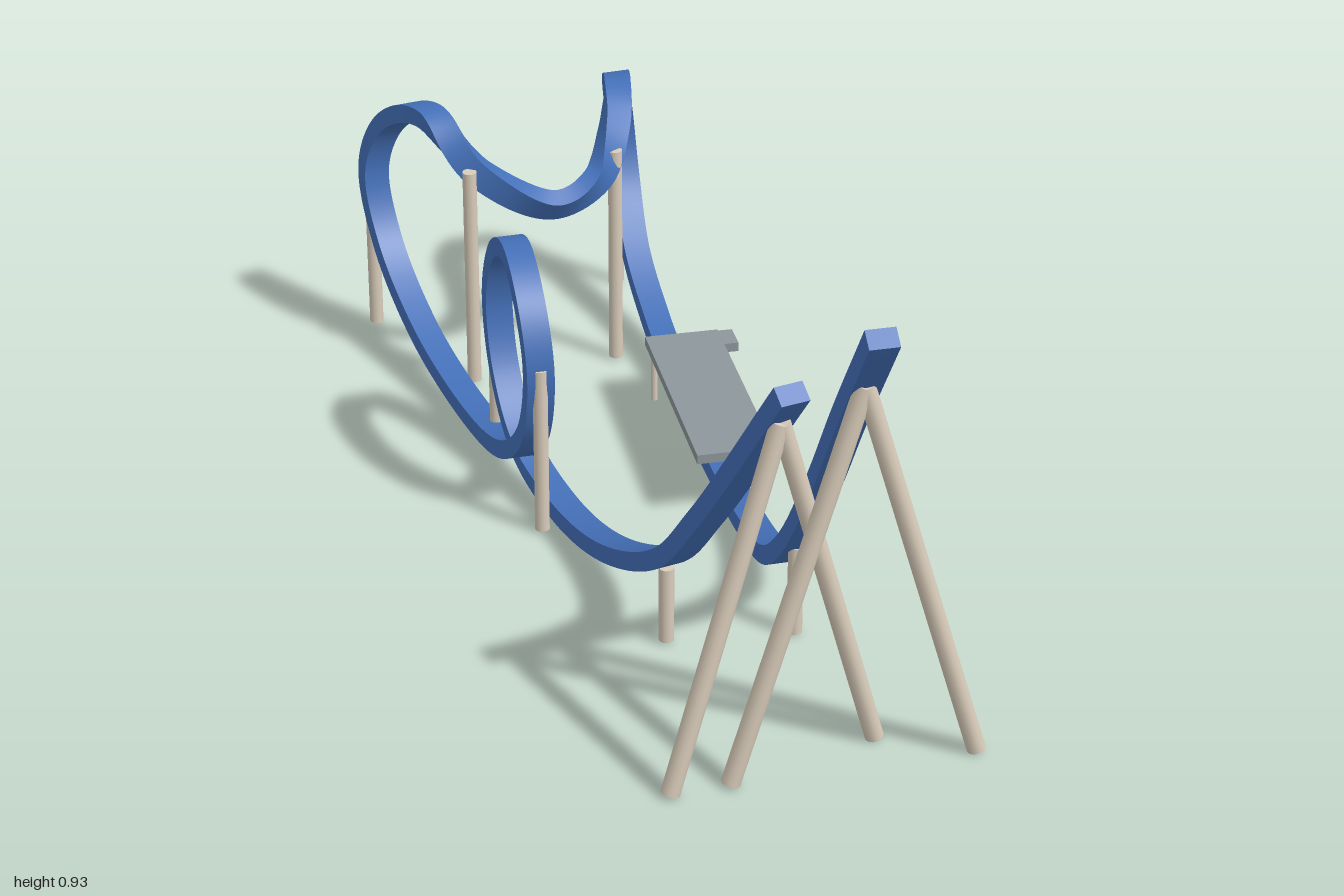
import * as THREE from 'three';

const blue = new THREE.MeshStandardMaterial({ color: 0x4470b8 });
const beige = new THREE.MeshStandardMaterial({ color: 0xd9ccba });
const grey = new THREE.MeshStandardMaterial({ color: 0x8d979b });
const V = (x, y, z) => new THREE.Vector3(x, y, z);

// Track centre line, from the tall lift to the short lift
const path = [
  [0.915, 0.915, 0.465], [0.77, 0.67, 0.36], [0.63, 0.425, 0.254], [0.475, 0.187, 0.14],
  [0.375, 0.09, 0.07], [0.22, 0.041, -0.045], [0, 0.033, -0.2], [-0.3, 0.033, -0.42],
  // first inverted bend
  [-0.45, 0.07, -0.525], [-0.58, 0.155, -0.61], [-0.67, 0.275, -0.68], [-0.7, 0.4, -0.695],
  [-0.67, 0.51, -0.65], [-0.59, 0.56, -0.565], [-0.52, 0.515, -0.475],
  [-0.487, 0.44, -0.385], [-0.515, 0.41, -0.28],
  // second inverted bend
  [-0.64, 0.475, -0.19], [-0.79, 0.56, -0.195], [-0.92, 0.5, -0.212], [-0.972, 0.38, -0.208],
  [-0.92, 0.225, -0.19], [-0.74, 0.095, -0.115], [-0.48, 0.035, -0.005],
  // vertical loop
  [-0.3, 0.07, 0.085], [-0.17, 0.19, 0.16], [-0.13, 0.35, 0.185], [-0.175, 0.475, 0.16],
  [-0.27, 0.53, 0.095], [-0.365, 0.475, 0.03], [-0.41, 0.35, 0.005], [-0.375, 0.2, 0.025],
  [-0.27, 0.085, 0.08], [-0.1, 0.037, 0.15],
  [0.1, 0.065, 0.235], [0.32, 0.18, 0.325], [0.47, 0.355, 0.39], [0.765, 0.775, 0.515],
];

// Upward direction of the track at each path point
const A = [0.81, 0, 0.58], B = [0.92, 0, 0.38], L = [0.83, 0, 0.56];
const mix = (d, h, y) => [d[0] * h, y, d[2] * h];
const up = [0, 1, 0], down = [0, -1, 0];
const ups = [
  up, up, up, up, up, up, up, up,
  mix(A, 0.4, 0.9), mix(A, 0.7, 0.7), mix(A, 0.9, 0.4), A, mix(A, 0.8, -0.6), down,
  [-0.6, -0.8, 0.1], [-0.9, 0.25, -0.35], [-0.75, 0.55, -0.4],
  [-0.2, -0.35, -0.9], down, mix(B, 0.7, -0.7), B,
  mix(B, 0.85, 0.5), mix(B, 0.4, 0.9), up,
  mix(L, -0.5, 0.87), mix(L, -0.87, 0.5), mix(L, -1, 0), mix(L, -0.75, -0.66),
  down, mix(L, 0.75, -0.66), L, mix(L, 0.87, 0.5), mix(L, 0.5, 0.87), up,
  up, up, up, up,
];

// Sweep a rectangular section along the path, with sharp long edges
function trackGeometry(width, height, steps) {
  const curve = new THREE.CatmullRomCurve3(path.map(p => V(...p)));
  const upCurve = new THREE.CatmullRomCurve3(ups.map(p => V(...p)), false, 'catmullrom', 0.5);
  const corners = [[1, 1], [-1, 1], [-1, -1], [1, -1]];
  const rings = [];
  for (let i = 0; i <= steps; i++) {
    const t = i / steps, c = curve.getPoint(t), T = curve.getTangent(t);
    const S = T.clone().cross(upCurve.getPoint(t)).normalize();
    const U = S.clone().cross(T);
    rings.push(corners.map(([a, b]) => c.clone()
      .addScaledVector(S, a * width / 2).addScaledVector(U, b * height / 2)));
  }
  const pos = [], idx = [];
  for (let f = 0; f < 4; f++) {
    const base = pos.length / 3;
    rings.forEach((r, i) => {
      pos.push(...r[f].toArray(), ...r[(f + 1) % 4].toArray());
      if (i < steps) {
        const a = base + i * 2;
        idx.push(a, a + 2, a + 3, a, a + 3, a + 1);
      }
    });
  }
  // end caps
  for (const ring of [rings[0], [...rings[steps]].reverse()]) {
    const b = pos.length / 3;
    ring.forEach(p => pos.push(...p.toArray()));
    idx.push(b, b + 1, b + 2, b, b + 2, b + 3);
  }
  const g = new THREE.BufferGeometry();
  g.setAttribute('position', new THREE.Float32BufferAttribute(pos, 3));
  g.setIndex(idx);
  g.computeVertexNormals();
  return g;
}

// Round post between two points
function post(name, from, to, radius, material = beige) {
  const a = V(...from), b = V(...to), d = b.clone().sub(a);
  const m = new THREE.Mesh(new THREE.CylinderGeometry(radius, radius, d.length(), 12), material);
  m.position.copy(a).add(b).multiplyScalar(0.5);
  m.quaternion.setFromUnitVectors(V(0, 1, 0), d.normalize());
  m.name = name;
  return m;
}

export function createModel() {
  const model = new THREE.Group();
  model.name = 'rollerCoaster';

  const track = new THREE.Mesh(trackGeometry(0.055, 0.038, 500), blue);
  track.name = 'track';
  model.add(track);

  // Upright supports: x, top height, z
  const supports = new THREE.Group();
  supports.name = 'supports';
  for (const [x, y, z] of [
    [-0.983, 0.38, -0.21], [-0.713, 0.4, -0.7], [-0.64, 0.49, -0.16], [-0.483, 0.49, -0.436],
    [-0.418, 0.35, 0.005], [-0.122, 0.36, 0.19], [0.49, 0.19, 0.15], [0.325, 0.16, 0.33],
  ]) supports.add(post('support', [x, 0, z], [x, y, z], 0.015));
  model.add(supports);

  // A-frame towers under both lifts
  const towers = [
    { apex: [0.845, 0.78, 0.417], feet: [[0.715, 0, 0.605], [0.98, 0, 0.232]] },
    { apex: [0.735, 0.705, 0.507], feet: [[0.655, 0, 0.7], [0.817, 0, 0.322]] },
  ];
  for (const { apex, feet } of towers) {
    const tower = new THREE.Group();
    tower.name = 'liftTower';
    feet.forEach(f => tower.add(post('towerLeg', f, apex, 0.018)));
    model.add(tower);
  }

  // Station platform with a small side landing, lying along the track
  const station = new THREE.Group();
  station.name = 'station';
  station.position.set(-0.067, 0, -0.25);
  station.rotation.y = -Math.atan2(0.6, 0.8);
  const slab = (name, w, d, x, z) => {
    const m = new THREE.Mesh(new THREE.BoxGeometry(w, 0.02, d), grey);
    m.position.set(x, 0.136, z);
    m.name = name;
    station.add(m);
  };
  slab('platform', 0.5, 0.155, 0, 0);
  slab('landing', 0.06, 0.03, -0.215, -0.0925);
  for (const [x, z] of [[-0.24, 0.06], [-0.225, -0.09], [0.235, -0.055]])
    station.add(post('stationLeg', [x, 0, z], [x, 0.128, z], 0.007));
  model.add(station);

  return model;
}
